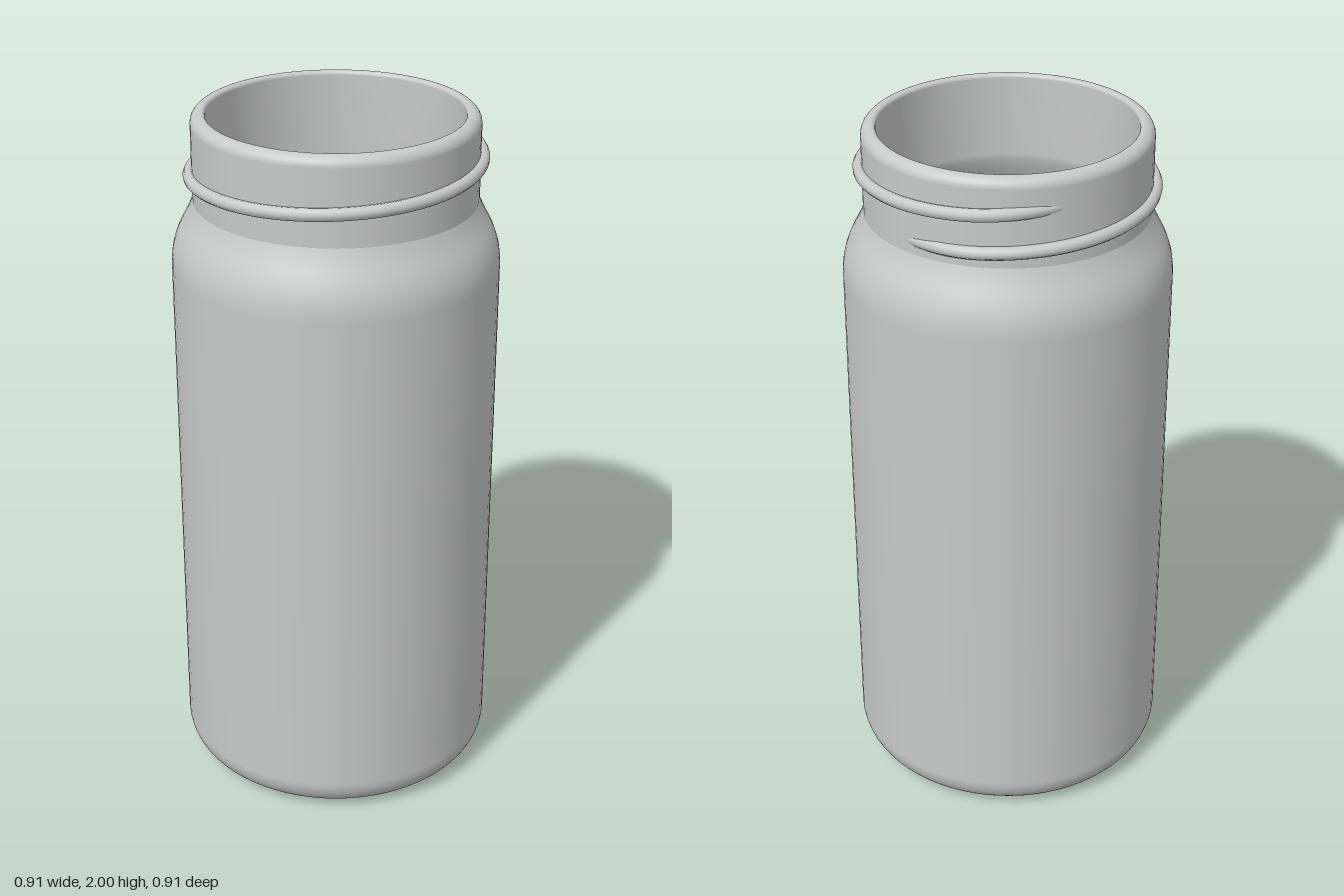
import * as THREE from 'three';

const HALF_PI = Math.PI / 2;

// Path of the screw thread: one rising turn whose ends sink into the neck wall
class ThreadCurve extends THREE.Curve {
  getPoint(t, target = new THREE.Vector3()) {
    const end = Math.PI * 2 + 1.5;
    const a = t * end;
    const fade = THREE.MathUtils.smoothstep(a, 0, 0.8) * (1 - THREE.MathUtils.smoothstep(a, end - 0.8, end));
    const r = 0.372 + 0.028 * fade;
    return target.set(r * Math.cos(a), 1.785 + 0.105 * a / (Math.PI * 2), -r * Math.sin(a));
  }
}

export function createModel() {
  const jar = new THREE.Group();
  jar.name = 'jar';
  const grey = new THREE.MeshStandardMaterial({ name: 'pale grey', color: 0xc8cac9 });

  const add = (name, geometry) => {
    const mesh = new THREE.Mesh(geometry, grey);
    mesh.name = name;
    jar.add(mesh);
  };
  const lathe = (name, path) => add(name, new THREE.LatheGeometry(path.getPoints(10), 72));

  // Outer body: flat base, rounded heel, straight wall, curved shoulder
  const body = new THREE.Path();
  body.moveTo(0, 0);
  body.lineTo(0.356, 0);
  body.absarc(0.356, 0.1, 0.1, -HALF_PI, 0, false);
  body.lineTo(0.456, 1.57);
  body.bezierCurveTo(0.456, 1.66, 0.416, 1.69, 0.394, 1.755);
  lathe('body', body);

  // Neck with rounded lip
  const neck = new THREE.Path();
  neck.moveTo(0.394, 1.755);
  neck.lineTo(0.394, 1.97);
  neck.absarc(0.364, 1.97, 0.03, 0, HALF_PI, false);
  neck.absarc(0.364, 1.989, 0.011, HALF_PI, Math.PI, false);
  lathe('neck', neck);

  // Hollow inside, from the mouth down to the floor
  const inside = new THREE.Path();
  inside.moveTo(0.353, 1.989);
  inside.lineTo(0.353, 1.76);
  inside.bezierCurveTo(0.365, 1.69, 0.416, 1.65, 0.416, 1.56);
  inside.lineTo(0.416, 0.12);
  inside.absarc(0.336, 0.12, 0.08, 0, -HALF_PI, true);
  inside.lineTo(0, 0.04);
  lathe('inside', inside);

  // Screw thread
  add('thread', new THREE.TubeGeometry(new ThreadCurve(), 140, 0.018, 10, false));

  return jar;
}
